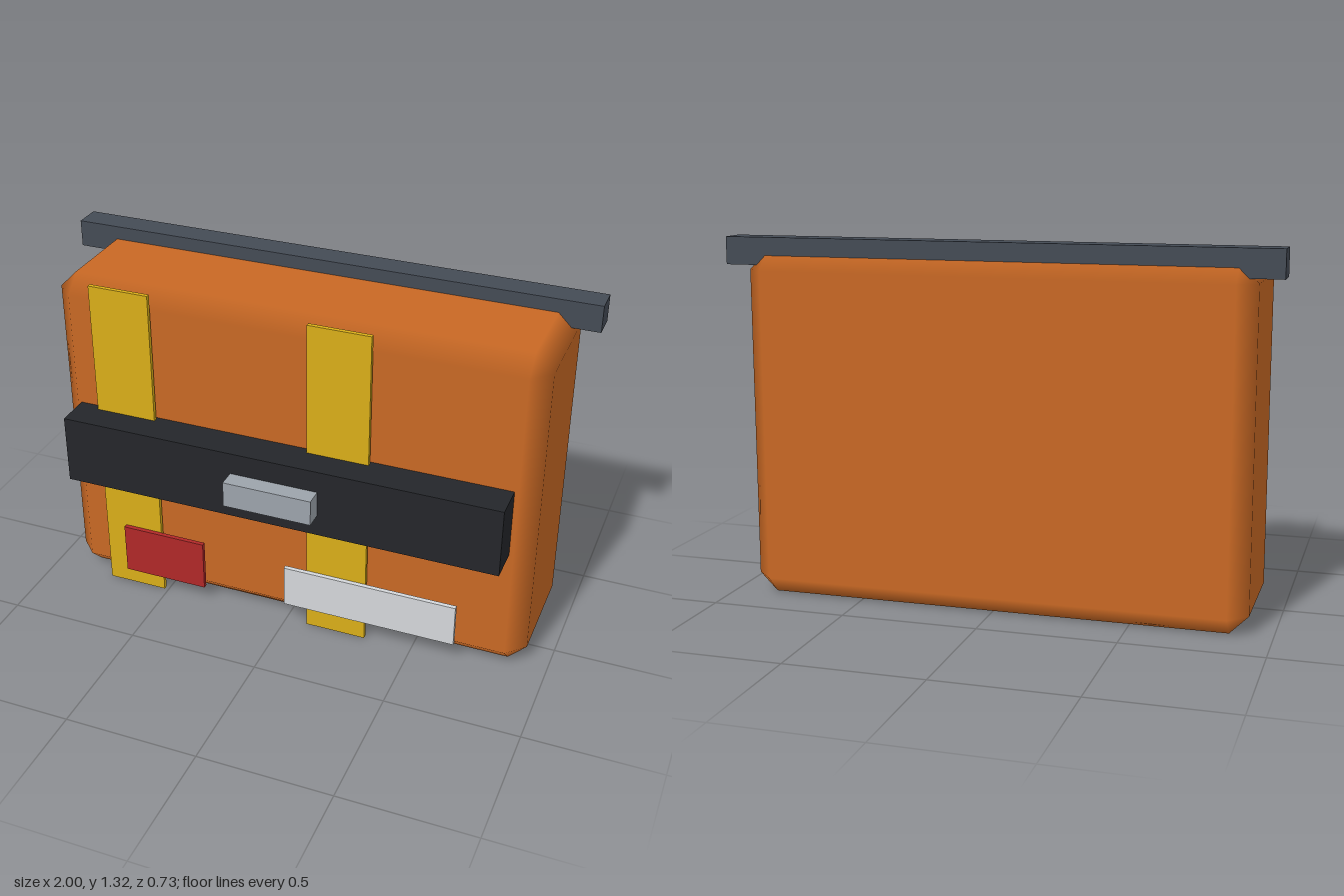
import * as THREE from 'three';
import { ConvexGeometry } from 'three/addons/geometries/ConvexGeometry.js';

// Box with single-facet bevels, flat on its six faces and shaded smoothly across the bevels
function bevelledBox(w, h, d, bevel) {
  const half = [w / 2, h / 2, d / 2];
  const points = [];
  for (const sx of [-1, 1]) for (const sy of [-1, 1]) for (const sz of [-1, 1]) {
    const signs = [sx, sy, sz];
    for (let axis = 0; axis < 3; axis++) {
      points.push(new THREE.Vector3(...signs.map((s, i) => s * (half[i] - (i === axis ? 0 : bevel)))));
    }
  }
  const geometry = new ConvexGeometry(points);
  const { position, normal } = geometry.attributes;
  for (let i = 0; i < position.count; i++) {
    // Each corner lies on exactly one flat face and takes that face's normal
    const p = [position.getX(i), position.getY(i), position.getZ(i)];
    normal.setXYZ(i, ...p.map((c, k) => (Math.abs(c) > half[k] - bevel / 2 ? Math.sign(c) : 0)));
  }
  return geometry;
}

export function createModel() {
  const model = new THREE.Group();
  model.name = 'backpackCase';

  const paint = (color) => new THREE.MeshStandardMaterial({ color });
  const orange = paint(0xc86824);
  const yellow = paint(0xd9ae18);
  const black = paint(0x24262a);
  const slate = paint(0x444b55);
  const metal = paint(0x9ca3ab);
  const red = paint(0xb02828);
  const white = paint(0xd4d7da);

  function add(name, geometry, material, x, y, z) {
    const mesh = new THREE.Mesh(geometry, material);
    mesh.name = name;
    mesh.position.set(x, y, z);
    model.add(mesh);
  }
  const block = (name, material, [w, h, d], [x, y, z]) =>
    add(name, new THREE.BoxGeometry(w, h, d), material, x, y, z);

  // Main body
  add('body', bevelledBox(1.83, 1.27, 0.533, 0.067), orange, 0, 0.635, -0.1);

  // Bar across the top at the back
  block('topBar', slate, [2, 0.1, 0.1], [0, 1.27, -0.265]);

  // Vertical straps standing just off the front
  for (const x of [-0.633, 0.2]) block('strap', yellow, [0.233, 1.27, 0.016], [x, 0.635, 0.185]);

  // Cross band with its buckle
  block('crossBand', black, [1.666, 0.263, 0.133], [0, 0.635, 0.234]);
  block('buckle', metal, [0.333, 0.098, 0.066], [0, 0.635, 0.333]);

  // Patches low on the front
  block('redPatch', red, [0.333, 0.2, 0.017], [-0.5, 0.168, 0.202]);
  block('whitePatch', white, [0.666, 0.166, 0.017], [0.333, 0.168, 0.202]);

  return model;
}
